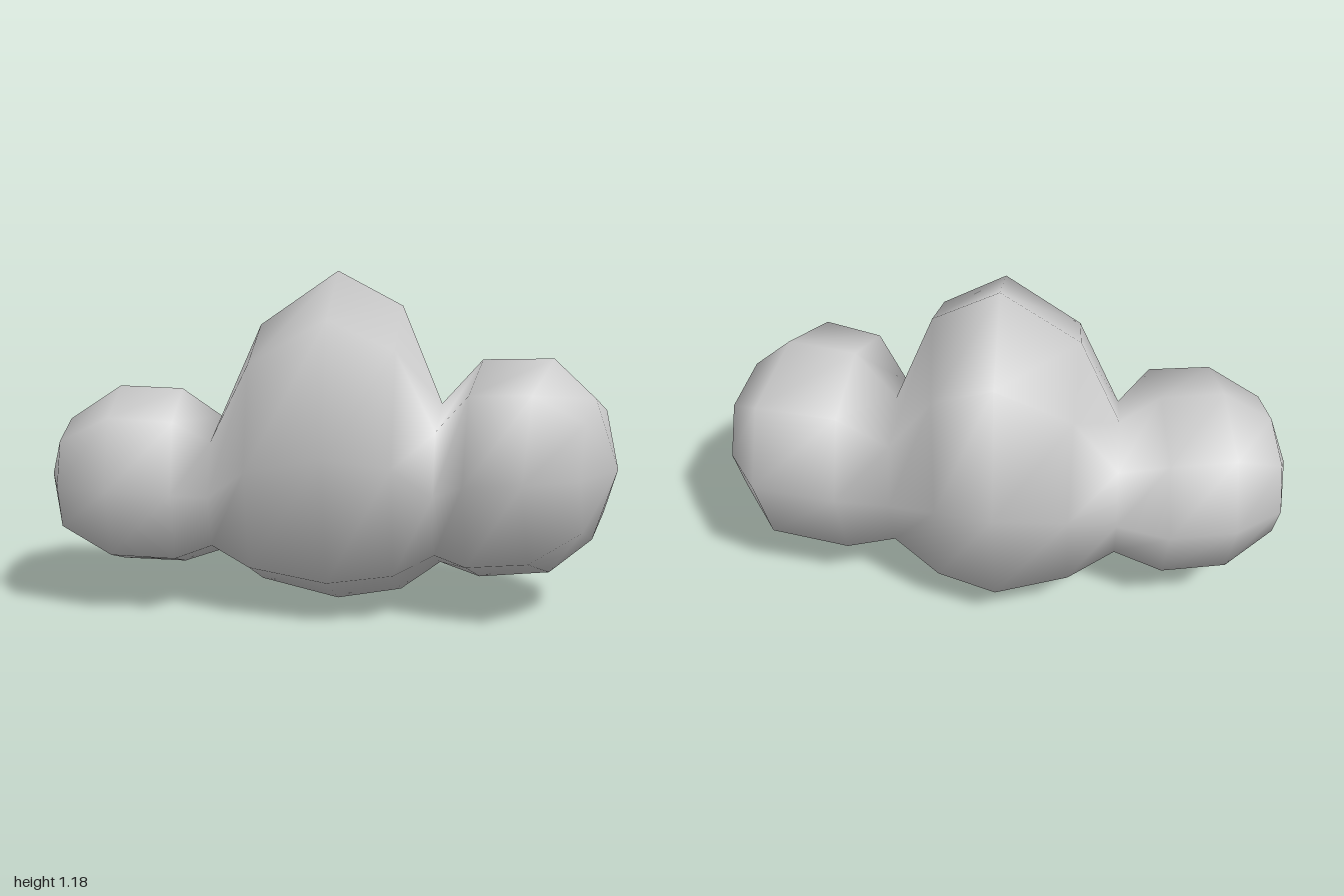
import * as THREE from 'three';

// Cross-sections from right lobe to left lobe:
// [x at top and bottom, top y, bottom y, back x, back z, front x, front z]
const SECTIONS = [
  [-0.93, 0.65, 0.25, -0.96, -0.21, -0.90, 0.33],
  [-0.75, 0.77, 0.135, -0.80, -0.33, -0.71, 0.405],
  [-0.53, 0.76, 0.125, -0.57, -0.365, -0.49, 0.395],
  [-0.39, 0.66, 0.17, -0.39, -0.28, -0.39, 0.275],
  [-0.245, 0.99, 0.065, -0.22, -0.40, -0.24, 0.40],
  [0.03, 1.18, 0, 0.03, -0.475, 0.03, 0.47],
  [0.26, 1.06, 0.045, 0.23, -0.40, 0.25, 0.425],
  [0.40, 0.72, 0.15, 0.41, -0.24, 0.38, 0.28],
  [0.54, 0.88, 0.11, 0.59, -0.295, 0.48, 0.40],
  [0.78, 0.89, 0.145, 0.88, -0.265, 0.67, 0.465],
  [0.92, 0.76, 0.275, 0.99, -0.09, 0.86, 0.37],
];
const RIGHT_TIP = [-1, 0.45, 0.07];
const LEFT_TIP = [1, 0.52, 0.14];
const SIDES = 8;

// Slightly squared octagon: corners sit a little outside the ellipse
function ringPoint([x, top, bottom, backX, backZ, frontX, frontZ], i) {
  const a = (i / SIDES) * Math.PI * 2;
  const swell = i % 2 ? 1.06 : 1;
  const c = Math.cos(a) * swell, s = Math.sin(a) * swell;
  const lean = s > 0 ? (frontX - x) * s : (backX - x) * -s;
  return [
    x + lean,
    (top + bottom) / 2 + ((top - bottom) / 2) * c,
    (frontZ + backZ) / 2 + ((frontZ - backZ) / 2) * s,
  ];
}

// Skin the sections into one closed surface with shared, smooth vertices
function loft() {
  const positions = [];
  const index = [];
  for (const section of SECTIONS) {
    for (let i = 0; i < SIDES; i++) positions.push(...ringPoint(section, i));
  }
  const last = (SECTIONS.length - 1) * SIDES;
  const rightTip = last + SIDES, leftTip = rightTip + 1;
  positions.push(...RIGHT_TIP, ...LEFT_TIP);

  for (let i = 0; i < SIDES; i++) {
    const j = (i + 1) % SIDES;
    for (let r = 0; r < last; r += SIDES) {
      const a = r + i, b = r + j, c = a + SIDES, d = b + SIDES;
      index.push(a, b, c, b, d, c);
    }
    index.push(rightTip, j, i);
    index.push(leftTip, last + i, last + j);
  }
  const geometry = new THREE.BufferGeometry();
  geometry.setAttribute('position', new THREE.Float32BufferAttribute(positions, 3));
  geometry.setIndex(index);
  geometry.computeVertexNormals();
  return geometry;
}

export function createModel() {
  const group = new THREE.Group();
  group.name = 'bush';

  // Tall middle lobe with a smaller lobe on each side
  const foliage = new THREE.Mesh(loft(), new THREE.MeshStandardMaterial({ color: 0xcccccc }));
  foliage.name = 'foliage';
  group.add(foliage);
  return group;
}
